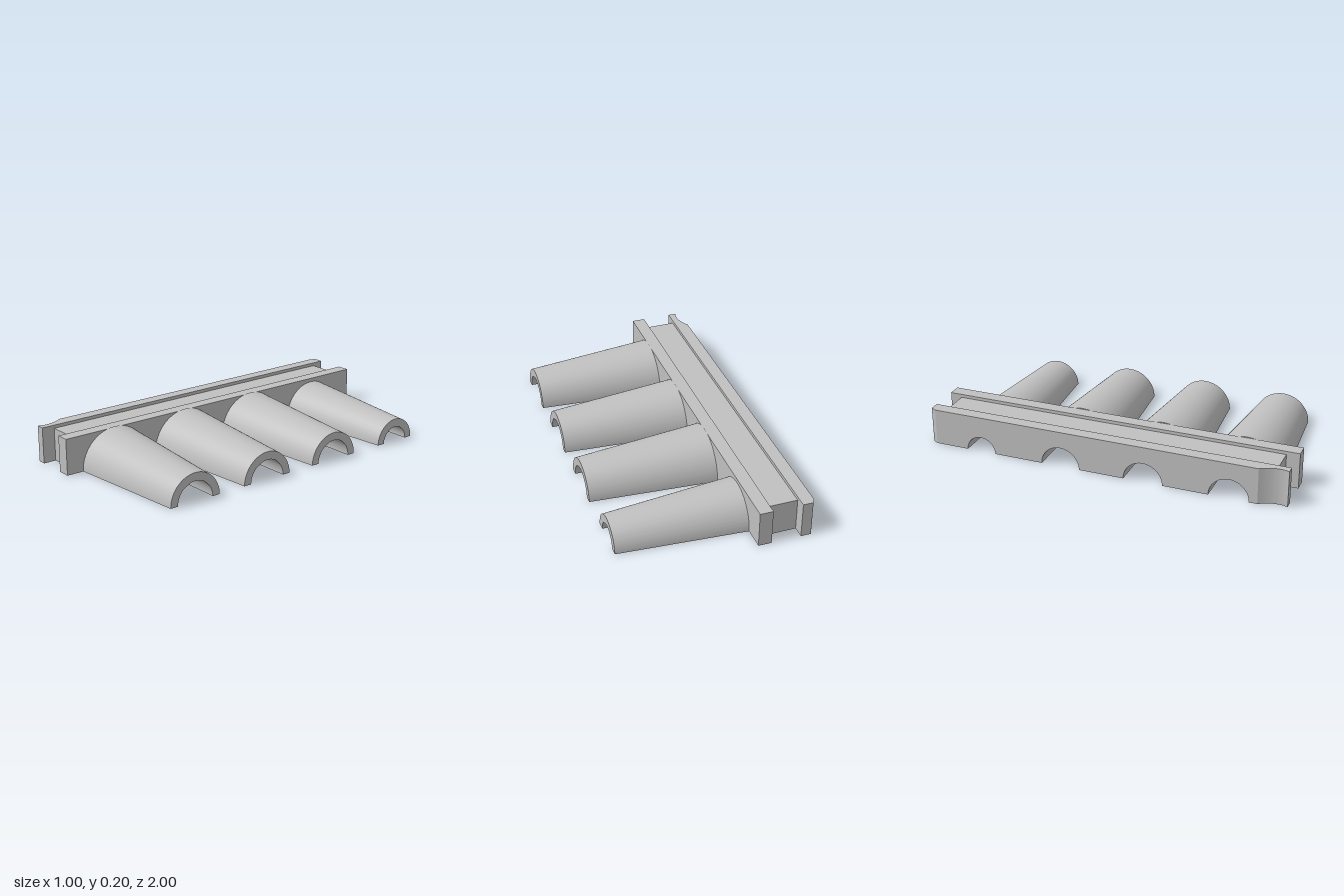
import * as THREE from 'three';
import { toCreasedNormals } from 'three/addons/utils/BufferGeometryUtils.js';

// Centre along z, bore radius, outer radius at the bar and at the tip
const sockets = [
  { z: 0.698, bore: 0.108, base: 0.205, tip: 0.152 },
  { z: 0.233, bore: 0.108, base: 0.205, tip: 0.152 },
  { z: -0.233, bore: 0.108, base: 0.205, tip: 0.152 },
  { z: -0.7, bore: 0.083, base: 0.179, tip: 0.128 },
];
const BAR_FRONT = -0.198, TIP = 0.5;

export function createModel() {
  const model = new THREE.Group();
  const grey = new THREE.MeshStandardMaterial({ color: 0xc0c0c0 });
  grey.name = 'plain grey';

  const add = (name, geometry) => {
    const mesh = new THREE.Mesh(toCreasedNormals(geometry, 0.4), grey);
    mesh.name = name;
    model.add(mesh);
  };

  // Extrudes a (-z, y) section along x
  const alongX = (shape, x0, x1) =>
    new THREE.ExtrudeGeometry(shape, { depth: x1 - x0, bevelEnabled: false, curveSegments: 40 })
      .rotateY(Math.PI / 2).translate(x0, 0, 0);

  // Extrudes an (x, -z) plan upwards
  const upward = (shape, height) =>
    new THREE.ExtrudeGeometry(shape, { depth: height, bevelEnabled: false, curveSegments: 16 })
      .rotateX(-Math.PI / 2);

  // Long bar section with the half-round bores cut from its underside
  const barSection = (z0, z1, height) => {
    const s = new THREE.Shape();
    s.moveTo(-z1, 0);
    for (const { z, bore } of sockets) {
      s.lineTo(-z - bore, 0);
      s.absarc(-z, 0, bore, Math.PI, 0, true);
    }
    s.lineTo(-z0, 0);
    s.lineTo(-z0, height);
    s.lineTo(-z1, height);
    s.closePath();
    return s;
  };

  add('frontFlange', alongX(barSection(-1, 1, 0.2), -0.27, BAR_FRONT));
  add('web', alongX(barSection(-0.935, 0.928, 0.182), -0.43, -0.27));
  add('backFlange', alongX(barSection(-0.972, 0.85, 0.2), -0.5, -0.43));

  // Chamfered end of the back flange
  const chamfer = new THREE.Shape();
  chamfer.moveTo(-0.5, 0.972);
  chamfer.lineTo(-0.43, 0.972);
  chamfer.lineTo(-0.43, 1);
  chamfer.lineTo(-0.485, 1);
  chamfer.closePath();
  add('chamferedEnd', upward(chamfer, 0.2));

  // Scooped end of the back flange
  const scoop = new THREE.Shape();
  scoop.moveTo(-0.5, -0.85);
  scoop.quadraticCurveTo(-0.447, -0.935, -0.475, -1);
  scoop.lineTo(-0.43, -1);
  scoop.lineTo(-0.43, -0.85);
  scoop.closePath();
  add('scoopedEnd', upward(scoop, 0.2));

  // Tapered half sockets with straight bores
  sockets.forEach(({ z, bore, base, tip }, i) => {
    const ring = new THREE.Shape();
    ring.absarc(0, 0, base, 0, Math.PI, false);
    ring.lineTo(-bore, 0);
    ring.absarc(0, 0, bore, Math.PI, 0, true);
    ring.closePath();
    const geometry = alongX(ring, BAR_FRONT, TIP);
    const p = geometry.attributes.position;
    for (let v = 0; v < p.count; v++) {
      const outer = Math.hypot(p.getY(v), p.getZ(v)) > (bore + base) / 2;
      if (outer && p.getX(v) > 0) {
        p.setY(v, p.getY(v) * tip / base);
        p.setZ(v, p.getZ(v) * tip / base);
      }
    }
    add('socket' + (i + 1), geometry.translate(0, 0, z));
  });

  return model;
}
